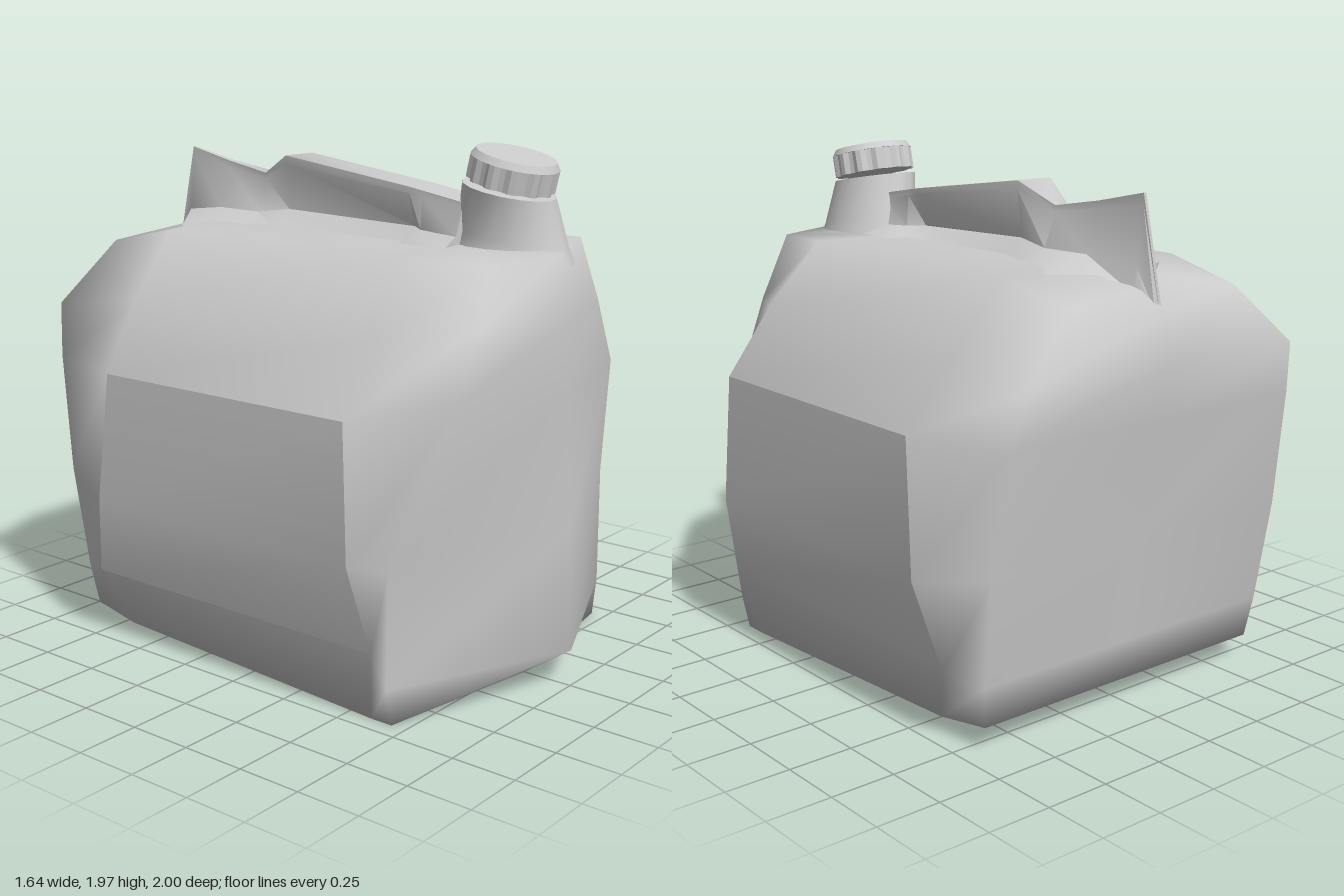
import * as THREE from 'three';
import { toCreasedNormals } from 'three/addons/utils/BufferGeometryUtils.js';

const grey = new THREE.MeshStandardMaterial({ color: 0xcccccc });
grey.name = 'grey plastic';

// Skin between rings of points (counterclockwise seen from the far end); keep(i, j) chooses quads.
function loft(rings, { caps = false, keep = () => true } = {}) {
  const n = rings[0].length;
  const pos = rings.flat(2);
  const index = [];
  for (let i = 0; i < rings.length - 1; i++) {
    for (let j = 0; j < n; j++) {
      if (!keep(i, j)) continue;
      const k = (j + 1) % n;
      const a = i * n + j, b = i * n + k, c = (i + 1) * n + k, d = (i + 1) * n + j;
      index.push(a, b, c, a, c, d);
    }
  }
  if (caps) {
    [0, rings.length - 1].forEach((r, end) => {
      const centre = pos.length / 3;
      for (let axis = 0; axis < 3; axis++) {
        pos.push(rings[r].reduce((sum, p) => sum + p[axis], 0) / n);
      }
      for (let j = 0; j < n; j++) {
        const a = r * n + j, b = r * n + (j + 1) % n;
        if (end) index.push(a, b, centre);
        else index.push(b, a, centre);
      }
    });
  }
  const geo = new THREE.BufferGeometry();
  geo.setAttribute('position', new THREE.Float32BufferAttribute(pos, 3));
  geo.setIndex(index);
  geo.computeVertexNormals();
  return geo;
}

// Mirrors a half ring running from centre front to centre back
function mirrorRing(half) {
  const other = half.slice(1, -1).reverse().map(([x, y, z]) => [-x, y, z]);
  return [...half, ...other];
}

// Each half ring: front centre, front corner, side front, side back, back corner, back centre
const halfRings = [
  [[0, 0, 0.8], [0.68, 0, 0.69], [0.68, 0, 0.6], [0.68, 0.06, -0.6], [0.66, 0.09, -0.82], [0, 0.09, -0.82]],
  [[0, 0.14, 1], [0.71, 0.14, 0.69], [0.75, 0.28, 0.65], [0.75, 0.28, -0.7], [0.68, 0.25, -0.845], [0, 0.25, -0.845]],
  [[0, 0.6, 0.98], [0.76, 0.6, 0.66], [0.82, 0.6, 0.6], [0.82, 0.6, -0.62], [0.7, 0.65, -0.9], [0, 0.65, -0.9]],
  [[0, 1.1, 0.95], [0.6, 1.1, 0.78], [0.8, 1.1, 0.57], [0.8, 1.1, -0.57], [0.68, 1.1, -0.96], [0, 1.1, -0.97]],
  [[0, 1.35, 0.93], [0.52, 1.35, 0.76], [0.61, 1.35, 0.57], [0.62, 1.35, -0.6], [0.64, 1.3, -1], [0, 1.3, -1]],
  [[0, 1.6, 0.91], [0.41, 1.6, 0.74], [0.42, 1.6, 0.5], [0.42, 1.6, -0.6], [0.4, 1.53, -0.93], [0, 1.48, -0.98]],
  [[0, 1.61, 0.85], [0.1, 1.61, 0.6], [0.1, 1.61, 0.4], [0.1, 1.62, -0.6], [0.1, 1.58, -0.82], [0, 1.55, -0.9]],
];

// Sections of the handle and rear fin: z, base half width, base y, waist, top half width, top y
const ridgeSections = [
  [-0.95, 0.03, 1.47, 0.02, 0.006, 1.52],
  [-0.87, 0.05, 1.54, 0.03, 0.006, 1.88],
  [-0.66, 0.3, 1.59, 0.07, 0.015, 1.835],
  [-0.45, 0.22, 1.6, 0.08, 0.03, 1.8],
  [-0.3, 0.16, 1.6, 0.06, 0.08, 1.88],
  [0.3, 0.16, 1.6, 0.04, 0.08, 1.8],
  [0.36, 0.22, 1.6, 0.09, 0.08, 1.79],
  [0.54, 0.2, 1.6, 0.12, 0.08, 1.76],
];

function ridgeRing([z, base, y0, waist, top, y1]) {
  const yw = y0 + (y1 - y0) * 0.25, ye = y1 - (y1 - y0) * 0.12;
  const right = [[base, y0, z], [waist, yw, z], [top, ye, z], [top, y1, z]];
  return [...right, ...right.slice().reverse().map(([x, y]) => [-x, y, z])];
}

export function createModel() {
  const model = new THREE.Group();
  const add = (name, geo, parent = model) => {
    const mesh = new THREE.Mesh(geo, grey);
    mesh.name = name;
    parent.add(mesh);
    return mesh;
  };

  // Canister body with a bulging front corner on one side
  const rings = halfRings.map(mirrorRing);
  rings[2][9] = [-0.77, 0.6, 0.74];
  rings[3][9] = [-0.67, 1.2, 0.95];
  rings[4][9] = [-0.51, 1.42, 0.93];
  rings[5][9] = [-0.39, 1.6, 0.86];
  const isPanel = (i, j) => (i === 1 || i === 2) && (j === 2 || j === 7);
  add('body', loft(rings, { caps: true, keep: (i, j) => !isPanel(i, j) }));
  add('sidePanels', loft(rings, { keep: isPanel }));

  // Handle running back into the fin
  add('handleAndFin', toCreasedNormals(loft(ridgeSections.map(ridgeRing), { caps: true }), 0.7));

  // Neck: leaning, tapered tube with a sloping rim
  const neckRing = (cx, cy, cz, rx, rz, slope) => Array.from({ length: 16 }, (_, j) => {
    const a = j / 16 * Math.PI * 2;
    const z = Math.cos(a) * rz;
    return [cx + Math.sin(a) * rx, cy - z * slope, cz + z];
  });
  const neck = loft([
    neckRing(0.05, 1.57, 0.67, 0.19, 0.24, 0.1),
    neckRing(0.05, 1.64, 0.67, 0.165, 0.215, 0.15),
    neckRing(0.015, 1.81, 0.675, 0.16, 0.175, 0.18),
  ], { caps: true });
  add('neck', toCreasedNormals(neck, 0.8));

  // Tilted screw cap with a grooved rim
  const cap = new THREE.Group();
  cap.name = 'cap';
  cap.position.set(0.01, 1.88, 0.695);
  cap.rotation.x = 0.23;
  model.add(cap);
  const grip = new THREE.Shape();
  for (let i = 0; i < 48; i++) {
    const a = i / 48 * Math.PI * 2, r = i % 4 < 2 ? 0.162 : 0.15;
    grip[i ? 'lineTo' : 'moveTo'](Math.cos(a) * r, Math.sin(a) * r);
  }
  const gripGeo = new THREE.ExtrudeGeometry(grip, { depth: 0.085, bevelEnabled: false });
  gripGeo.rotateX(-Math.PI / 2);
  gripGeo.translate(0, -0.055, 0);
  add('capGrip', gripGeo, cap);
  const lid = new THREE.CylinderGeometry(0.147, 0.162, 0.025, 24);
  lid.translate(0, 0.0425, 0);
  add('capLid', lid, cap);

  return model;
}
